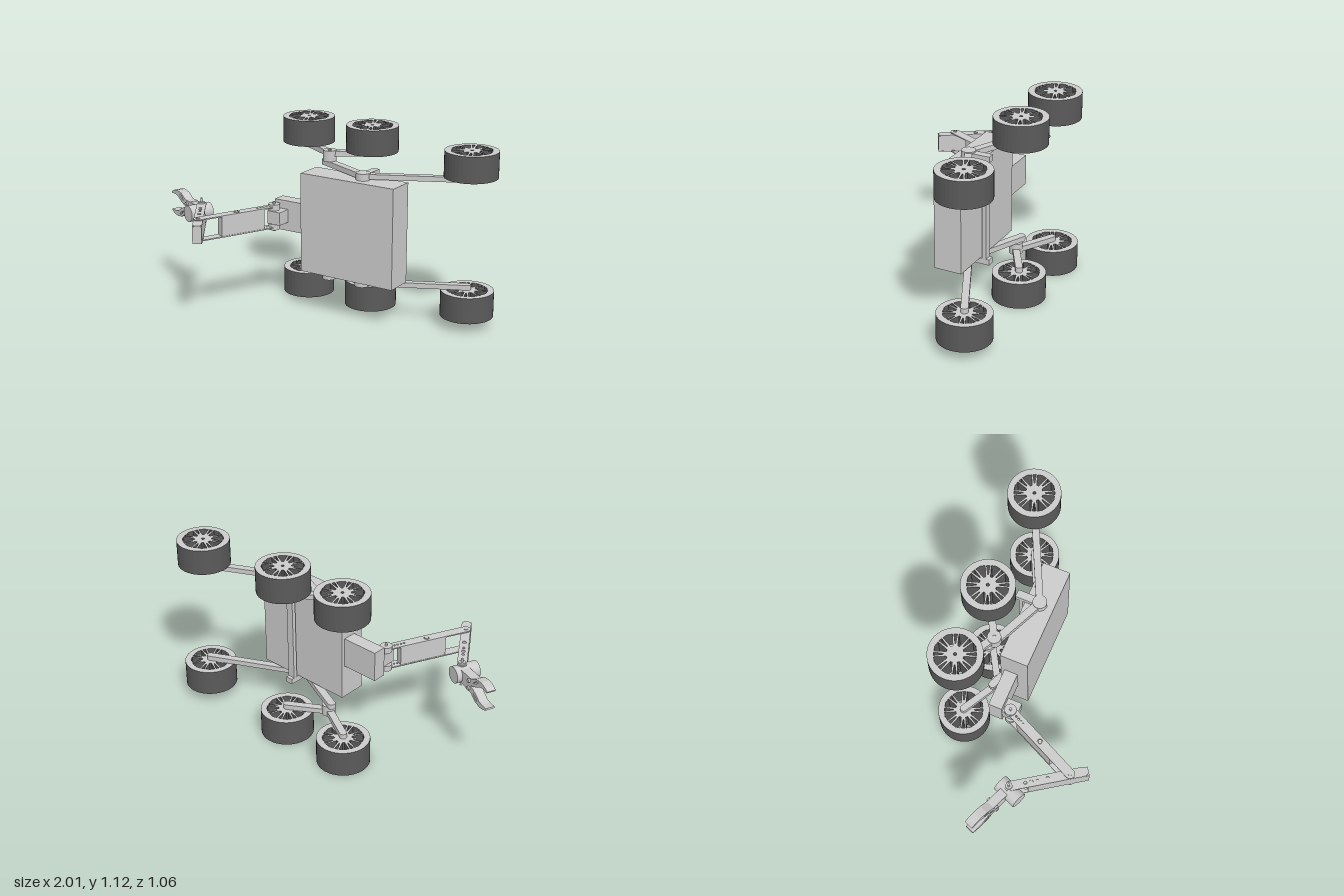
import * as THREE from 'three';

const MID = 0.5575; // mirror plane height
const grey = new THREE.MeshStandardMaterial({ color: 0xcccccc });
const dark = new THREE.MeshStandardMaterial({ color: 0x5a5a5a });

export function createModel() {
  const model = new THREE.Group();

  const add = (name, geometry, material = grey, parent = model) => {
    const mesh = new THREE.Mesh(geometry, material);
    mesh.name = name;
    parent.add(mesh);
    return mesh;
  };

  // box from its limits
  const box = (name, x0, x1, y0, y1, z0, z1) =>
    add(name, new THREE.BoxGeometry(x1 - x0, y1 - y0, z1 - z0)
      .translate((x0 + x1) / 2, (y0 + y1) / 2, (z0 + z1) / 2));

  // outline drawn in (x, z), extruded from y0 up to y1
  const slab = (name, shape, y0, y1, material = grey) => {
    const g = new THREE.ExtrudeGeometry(shape, { depth: y1 - y0, bevelEnabled: false, curveSegments: 20 });
    return add(name, g.rotateX(Math.PI / 2).translate(0, y1, 0), material);
  };
  // the same slab on the upper and the lower side
  const pair = (name, shape, y0, y1, material) => {
    slab(name, shape, y0, y1, material);
    slab(name, shape, 2 * MID - y1, 2 * MID - y0, material);
  };

  const circle = (x, z, r) => new THREE.Shape().absarc(x, z, r, 0, Math.PI * 2);

  // round-ended link between two points, holes given as [fraction, radius]
  const link = (a, b, r, holes = []) => {
    const f = Math.atan2(b[1] - a[1], b[0] - a[0]), q = Math.PI / 2;
    const s = new THREE.Shape();
    s.absarc(b[0], b[1], r, f - q, f + q);
    s.absarc(a[0], a[1], r, f + q, f + 3 * q);
    s.closePath();
    for (const [t, hr] of holes) {
      s.holes.push(circle(a[0] + t * (b[0] - a[0]), a[1] + t * (b[1] - a[1]), hr));
    }
    return s;
  };
  // square-ended link
  const strip = (a, b, r) => {
    const dx = b[0] - a[0], dz = b[1] - a[1], l = Math.hypot(dx, dz);
    const nx = -dz / l * r, nz = dx / l * r;
    return new THREE.Shape([
      [a[0] - nx, a[1] - nz], [b[0] - nx, b[1] - nz],
      [b[0] + nx, b[1] + nz], [a[0] + nx, a[1] + nz],
    ].map(p => new THREE.Vector2(...p)));
  };

  // Body and arm mount
  box('body', -0.085, 0.54, 0.257, 0.86, -0.19, -0.021);
  box('armMount', -0.315, -0.085, 0.466, 0.652, -0.167, -0.085);
  box('shoulderBlock', -0.31, -0.22, 0.52, 0.6, -0.085, 0.002);

  // Cross bar behind the body with its end tabs
  box('crossBar', 0.27, 0.315, 0.257, 0.86, -0.228, -0.204);
  pair('crossBarTab', strip([0.292, -0.248], [0.292, -0.1], 0.023), 0.858, 0.893);

  // Rocker and bogie suspension
  const pivot = [0.29, -0.105], joint = [-0.03, -0.247];
  const frontWheel = [-0.26, -0.374], midWheel = [0.187, -0.376], rearWheel = [0.843, -0.376];
  pair('rockerFrontArm', link([-0.068, -0.264], pivot, 0.023), 0.864, 0.896);
  pair('rockerRearArm', link(pivot, rearWheel, 0.021), 0.866, 0.896);
  pair('rockerHub', circle(...pivot, 0.042), 0.86, 0.901);
  pair('bogieFrontArm', link(joint, frontWheel, 0.021), 0.926, 0.957);
  pair('bogieRearArm', link(joint, midWheel, 0.021), 0.926, 0.957);
  const collar = circle(...joint, 0.04);
  collar.holes.push(circle(...joint, 0.011));
  pair('bogiePivot', collar, 0.894, 0.961);

  // Spoked wheels, open through their whole width
  const wheel = ([x, z]) => {
    const s = circle(x, z, 0.156), n = 8;
    s.holes.push(circle(x, z, 0.009));
    const at = (r, a) => new THREE.Vector2(x + r * Math.cos(a), z + r * Math.sin(a));
    for (let i = 0; i < n; i++) {
      const a = i * Math.PI * 2 / n;
      // wide gap between spoke pairs, then a narrow wedge inside the pair
      s.holes.push(new THREE.Path([
        at(0.05, a - 0.12), at(0.118, a - 0.24), at(0.121, a), at(0.118, a + 0.24), at(0.05, a + 0.12),
      ]));
      const b = a + Math.PI / n;
      s.holes.push(new THREE.Path([at(0.062, b - 0.03), at(0.118, b - 0.085), at(0.118, b + 0.085), at(0.062, b + 0.03)]));
    }
    return s;
  };
  pair('wheel', wheel(frontWheel), 0.958, 1.115, [grey, dark]);
  pair('wheel', wheel(midWheel), 0.958, 1.115, [grey, dark]);
  pair('wheel', wheel(rearWheel), 0.897, 1.053, [grey, dark]);
  for (const [c, y0, y1] of [[frontWheel, 0.95, 1.03], [midWheel, 0.95, 1.03], [rearWheel, 0.89, 0.97]]) {
    pair('axle', circle(...c, 0.008), y0, y1);
  }

  // Upper arm: two drilled side plates around a block
  const shoulder = [-0.29, -0.04], elbow = [-0.505, 0.42], wrist = [-0.705, 0.13];
  const along = (a, b, t) => [a[0] + t * (b[0] - a[0]), a[1] + t * (b[1] - a[1])];
  pair('upperArmPlate', link(shoulder, elbow, 0.029,
    [[0.1, 0.006], [0.14, 0.006], [0.18, 0.006], [0.22, 0.006], [0.5, 0.016]]), 0.617, 0.624);
  slab('upperArmBlock', strip(along(shoulder, elbow, 0.16), along(shoulder, elbow, 0.72), 0.026), 0.498, 0.617);
  pair('shoulderEar', circle(...shoulder, 0.035), 0.6, 0.636);
  slab('shoulderPin', circle(...shoulder, 0.008), 0.466, 0.649);
  slab('elbowPin', circle(...elbow, 0.012), 0.487, 0.628);
  pair('armWasher', circle(...along(shoulder, elbow, 0.5), 0.012), 0.618, 0.628);

  // Forearm
  slab('forearmBlock', strip([-0.445, 0.51], along(elbow, wrist, 0.7), 0.027), 0.505, 0.606);
  pair('forearmPlate', link([-0.46, 0.485], wrist, 0.028,
    [[0.48, 0.012], [0.62, 0.008], [0.7, 0.011], [0.78, 0.009]]), 0.606, 0.612);
  slab('wristPin', circle(...wrist, 0.007), 0.468, 0.645);
  pair('wristWasher', circle(...wrist, 0.02), 0.612, 0.622);

  // Wrist and gripper, local x pointing out along the jaws
  const hand = new THREE.Group();
  hand.name = 'hand';
  hand.position.set(wrist[0], MID, wrist[1]);
  hand.rotation.y = Math.PI - 0.38;
  model.add(hand);
  add('wristMotor', new THREE.CylinderGeometry(0.05, 0.05, 0.15, 24)
    .rotateX(Math.PI / 2).translate(0.01, 0, -0.015), grey, hand);
  add('palm', new THREE.BoxGeometry(0.11, 0.085, 0.055).translate(0.095, 0, 0), grey, hand);

  // Curved jaws, one mirrored from the other
  const outer = [[0.09, 0.045], [0.15, 0.045], [0.2, 0.075], [0.25, 0.083], [0.29, 0.075], [0.318, 0.06]];
  const inner = [[0.315, 0.051], [0.27, 0.053], [0.24, 0.046], [0.21, 0.025], [0.165, 0.006], [0.09, 0.004]];
  const gap = [[0.17, 0.03], [0.2, 0.043], [0.225, 0.063], [0.2, 0.06]];
  for (const side of [1, -1]) {
    const path = pts => pts.map(([s, y]) => new THREE.Vector2(s, y * side));
    const jaw = new THREE.Shape(path([...outer, ...inner]));
    jaw.holes.push(new THREE.Path(path(gap)));
    add('gripperJaw', new THREE.ExtrudeGeometry(jaw, { depth: 0.055, bevelEnabled: false })
      .translate(0, 0, -0.0275), grey, hand);
    add('jawPin', new THREE.CylinderGeometry(0.012, 0.012, 0.075, 12)
      .rotateX(Math.PI / 2).translate(0.13, 0.025 * side, 0), grey, hand);
  }

  return model;
}
